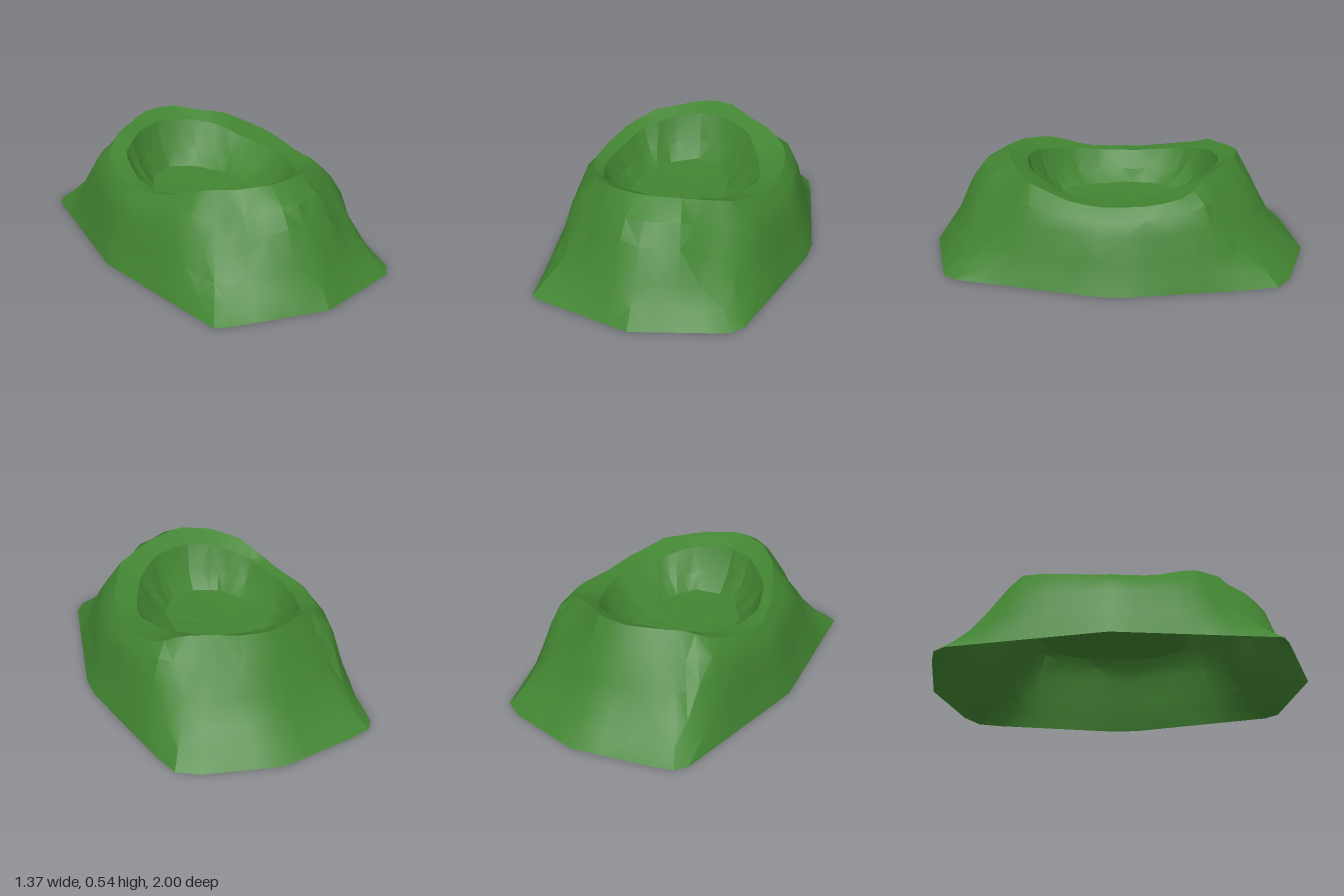
import * as THREE from 'three';
import { toCreasedNormals } from 'three/addons/utils/BufferGeometryUtils.js';

// Foot outline as [x, z], running from +x towards +z
const BASE = [[0.685, 0.06], [0.53, 0.8], [0.475, 0.87], [0, 1], [-0.49, 0.87], [-0.56, 0.84],
  [-0.685, 0], [-0.565, -0.82], [-0.52, -0.885], [-0.4, -0.92], [0, -1], [0.4, -0.91], [0.51, -0.845],
  [0.55, -0.72], [0.685, -0.08]];

// Crater outlines as [x, z, y]
const RIM = [[0.49, 0, 0.4], [0.47, 0.2, 0.415], [0.36, 0.43, 0.475], [0.17, 0.54, 0.515], [-0.05, 0.61, 0.54],
  [-0.22, 0.55, 0.525], [-0.35, 0.42, 0.505], [-0.46, 0.2, 0.42], [-0.52, 0, 0.4], [-0.53, -0.12, 0.4],
  [-0.46, -0.38, 0.45], [-0.34, -0.48, 0.51], [-0.1, -0.625, 0.54], [0.06, -0.63, 0.545], [0.22, -0.51, 0.52],
  [0.33, -0.45, 0.5], [0.44, -0.38, 0.45], [0.5, -0.2, 0.415]];
const LIP = [[0.41, 0, 0.395], [0.35, 0.17, 0.4], [0.28, 0.32, 0.43], [0.15, 0.45, 0.47], [-0.04, 0.5, 0.49],
  [-0.2, 0.45, 0.48], [-0.36, 0.3, 0.435], [-0.44, 0.1, 0.405], [-0.44, -0.1, 0.4], [-0.38, -0.34, 0.445],
  [-0.22, -0.48, 0.49], [-0.05, -0.54, 0.5], [0.1, -0.51, 0.495], [0.23, -0.42, 0.47], [0.34, -0.22, 0.415]];
const FLOOR = [[0.2, 0, 0.25], [0.19, 0.18, 0.25], [0.1, 0.34, 0.25], [-0.04, 0.375, 0.25], [-0.18, 0.32, 0.25],
  [-0.28, 0.16, 0.25], [-0.31, 0, 0.25], [-0.31, -0.16, 0.25], [-0.2, -0.36, 0.25], [-0.06, -0.43, 0.26],
  [0.08, -0.37, 0.25], [0.18, -0.2, 0.25]];

// Slope profiles: [share of the way in, share of the height]
const BULGED = [[0.15, 0.18], [0.32, 0.38], [0.5, 0.68], [0.69, 0.86]];
const HOLLOW = [[0.2, 0.13], [0.4, 0.28], [0.6, 0.52], [0.79, 0.76]];

let seed = 7;
function jitter(size) {
  seed = (seed * 16807) % 2147483647;
  return (seed / 2147483647 - 0.5) * 2 * size;
}

// Point [x, y, z] where a ray from the centre meets an outline
function hit(outline, angle) {
  const dx = Math.cos(angle), dz = Math.sin(angle);
  for (let i = 0; i < outline.length; i++) {
    const a = outline[i], b = outline[(i + 1) % outline.length];
    const ca = dx * a[1] - dz * a[0], cb = dx * b[1] - dz * b[0];
    if (ca <= 1e-9 && cb > 1e-9) {
      const [x, z, y] = a.map((v, c) => v + (b[c] - v) * ca / (ca - cb));
      if (x * dx + z * dz > 0) return [x, y, z];
    }
  }
  throw new Error('outline does not surround the centre');
}

// Split long foot edges so the slope has an even grain
function baseRing() {
  const ring = [];
  BASE.forEach(([x, z], i) => {
    const [nx, nz] = BASE[(i + 1) % BASE.length];
    const parts = Math.max(1, Math.round(Math.hypot(nx - x, nz - z) / 0.12));
    for (let k = 0; k < parts; k++) ring.push([x + (nx - x) * k / parts, 0, z + (nz - z) * k / parts]);
  });
  return ring;
}

// How hollow the slope is: fully at the back and along the four corners
function hollowness([x, , z]) {
  const back = THREE.MathUtils.smoothstep(-z, 0.7, 0.95);
  const reach = z < 0 ? 1.6 : 1;
  const distance = Math.hypot(Math.abs(x) - 0.53, reach * (Math.abs(z) - 0.84));
  return Math.max(back, 1 - THREE.MathUtils.smoothstep(distance, 0.05, 0.38));
}

// Skin between successive rings, running from outside to inside
function loft(rings) {
  const positions = [];
  for (let r = 0; r + 1 < rings.length; r++) {
    const a = rings[r], b = rings[r + 1], n = a.length;
    for (let i = 0; i < n; i++) {
      const j = (i + 1) % n;
      if (b[i] === b[j]) positions.push(...a[i], ...b[i], ...a[j]);
      else if ((i + r) % 2) positions.push(...a[i], ...b[i], ...a[j], ...b[i], ...b[j], ...a[j]);
      else positions.push(...a[i], ...b[i], ...b[j], ...a[i], ...b[j], ...a[j]);
    }
  }
  const geometry = new THREE.BufferGeometry();
  geometry.setAttribute('position', new THREE.Float32BufferAttribute(positions, 3));
  return toCreasedNormals(geometry, 0.4);
}

export function createModel() {
  const group = new THREE.Group();
  group.name = 'craterHill';
  const grass = new THREE.MeshStandardMaterial({ color: 0x428432, side: THREE.DoubleSide });
  grass.name = 'grassGreen';

  const base = baseRing();
  const angles = base.map(p => Math.atan2(p[2], p[0]));
  const ring = (outline, rough) => angles.map(a => {
    const p = hit(outline, a);
    p[1] -= Math.abs(jitter(rough));
    return p;
  });
  const rim = ring(RIM, 0.005);

  // Outer slope: bulging at the front and sides, hollow elsewhere
  const slope = BULGED.map((bulged, k) => base.map((p, i) => {
    const hollow = hollowness(p);
    const u = THREE.MathUtils.lerp(bulged[0], HOLLOW[k][0], hollow) + jitter(0.015);
    const h = THREE.MathUtils.lerp(bulged[1], HOLLOW[k][1], hollow) + jitter(0.015);
    const q = rim[i];
    return [p[0] + (q[0] - p[0]) * u, q[1] * h, p[2] + (q[2] - p[2]) * u];
  }));

  // Crater: nearly level lip, steep wall and shallow floor
  const lip = ring(LIP, 0.008);
  const floor = ring(FLOOR, 0.008);
  const wall = lip.map((p, i) => p.map((v, c) => v + (floor[i][c] - v) * (c === 1 ? 0.62 : 0.45) + jitter(0.006)));
  const center = [-0.05, 0.235, -0.02];
  const inner = floor.map(p => [(p[0] + center[0]) / 2, 0.235 + jitter(0.003), (p[2] + center[2]) / 2]);
  const middle = floor.map(() => center);

  const parts = { outerSlope: [base, ...slope, rim], craterLip: [rim, lip],
    craterWall: [lip, wall, floor], craterFloor: [floor, inner, middle] };
  for (const [name, rings] of Object.entries(parts)) {
    const mesh = new THREE.Mesh(loft(rings), grass);
    mesh.name = name;
    group.add(mesh);
  }
  return group;
}
